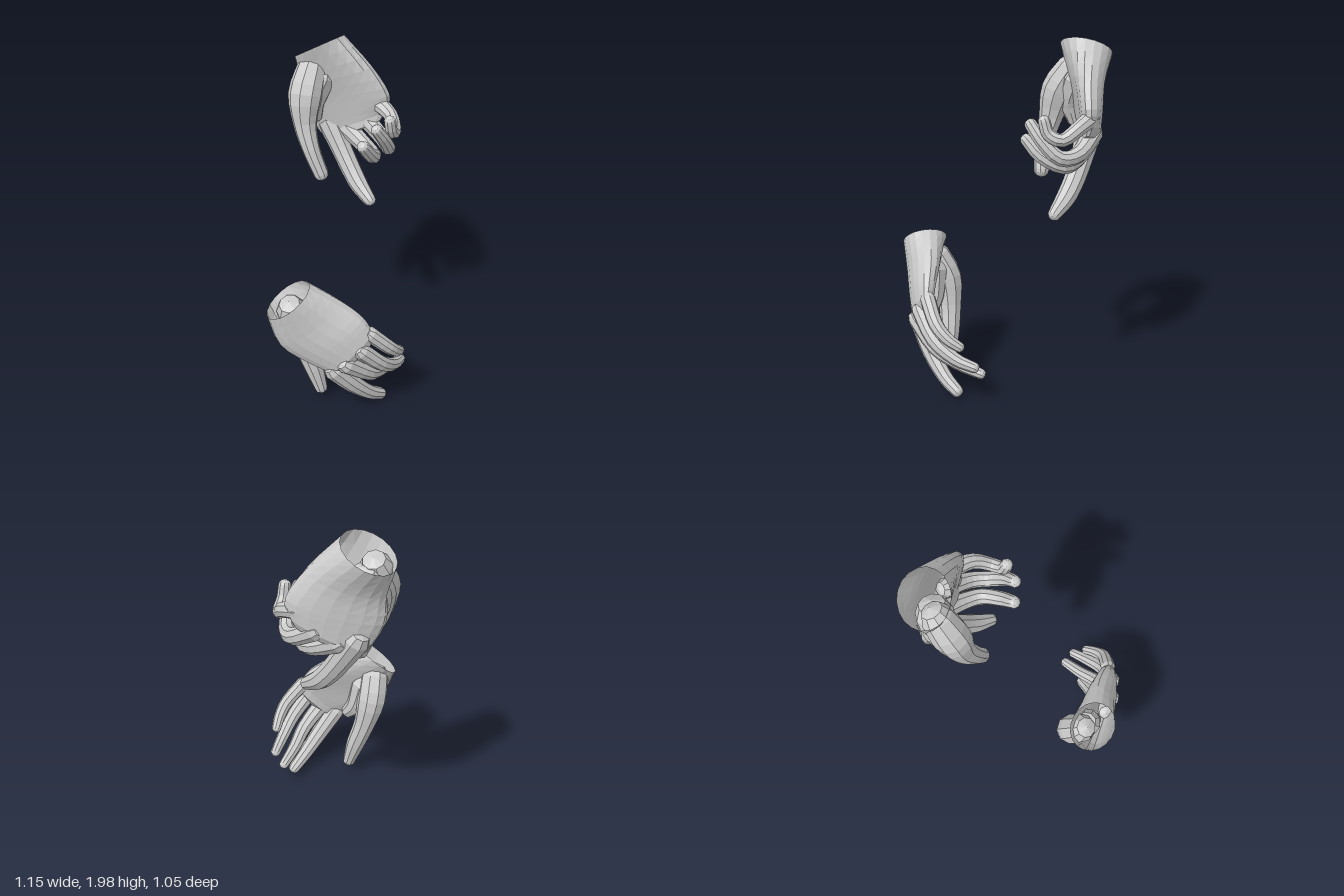
import * as THREE from 'three';

const skin = new THREE.MeshStandardMaterial({ color: 0xcccccc, flatShading: true });
const openSkin = new THREE.MeshStandardMaterial({ color: 0xcccccc, flatShading: true, side: THREE.DoubleSide });
const vec = (a) => new THREE.Vector3(a[0], a[1], a[2]);
const spline = (pts) => new THREE.CatmullRomCurve3(pts, false, 'catmullrom', 0.5);

// Skin over a series of rings with equal point counts
function loft(name, rings, material) {
  const n = rings[0].length;
  const index = [];
  for (let i = 0; i < rings.length - 1; i++) {
    for (let j = 0; j < n; j++) {
      const a = i * n + j, b = i * n + ((j + 1) % n);
      index.push(a, b, b + n, a, b + n, a + n);
    }
  }
  const geo = new THREE.BufferGeometry().setFromPoints(rings.flat());
  geo.setIndex(index);
  geo.computeVertexNormals();
  const mesh = new THREE.Mesh(geo, material);
  mesh.name = name;
  return mesh;
}

// Ring from a centre and two half-axes; the inner (palm) side is hollowed
function ring(c, u, v, sides, hollow = 0) {
  return Array.from({ length: sides }, (_, j) => {
    const a = (j / sides) * Math.PI * 2, s = Math.sin(a);
    const k = s < 0 ? s * (1 - hollow * s * s) : s;
    return c.clone().addScaledVector(u, Math.cos(a)).addScaledVector(v, k);
  });
}

// Finger: tapered round tube through [x, y, z, radius] with domed ends
function digit(name, pts, sides = 9) {
  const path = spline(pts.map(vec));
  const radii = spline(pts.map((p) => new THREE.Vector3(p[3], 0, 0)));
  const steps = (pts.length - 1) * 3;
  const rings = [];
  let u = new THREE.Vector3(0.3, 0.2, 1);
  for (let i = 0; i <= steps; i++) {
    const t = i / steps, c = path.getPoint(t), d = path.getTangent(t), r = radii.getPoint(t).x;
    u = u.clone().addScaledVector(d, -u.dot(d)).normalize();
    const v = d.clone().cross(u);
    const add = (ang) => {
      const k = r * Math.max(Math.cos(ang), 0.001);
      rings.push(ring(c.clone().addScaledVector(d, r * 0.9 * Math.sin(ang)),
        u.clone().multiplyScalar(k), v.clone().multiplyScalar(k), sides));
    };
    if (i === 0) [-Math.PI / 2, -0.8].forEach(add);
    add(0);
    if (i === steps) [0.5, 1.0, Math.PI / 2].forEach(add);
  }
  return loft(name, rings, skin);
}

// Palm: sections of [centre, half-width to little finger, half-thickness to back]
function palm(sections, capShift) {
  const [cs, ws, ns] = [0, 1, 2].map((k) => spline(sections.map((s) => vec(s[k]))));
  const flip = ws.points[0].clone().cross(ns.points[0]).dot(cs.points[1].clone().sub(cs.points[0])) < 0;
  const rings = [];
  const add = (c, w, n, hollow) => {
    const r = ring(c, w, n, 18, hollow);
    rings.push(flip ? r.reverse() : r);
  };
  for (let i = 0; i <= 9; i++) {
    const t = i / 9;
    add(cs.getPoint(t), ws.getPoint(t), ns.getPoint(t), 0.45 * Math.sin(Math.PI * t * 0.8));
  }
  // rounded end between the knuckles
  [[0.6, 0.8], [1, 0.001]].forEach(([shift, k]) => add(
    cs.getPoint(1).addScaledVector(vec(capShift), shift),
    ws.getPoint(1).multiplyScalar(k), ns.getPoint(1).multiplyScalar(k), 0.2));
  return loft('palm', rings, openSkin);
}

function hand(name, spec) {
  const g = new THREE.Group();
  g.name = name;
  g.add(palm(spec.palm, spec.cap));
  for (const [part, pts] of Object.entries(spec.digits)) g.add(digit(part, pts));
  return g;
}

// Upper hand: index finger points down, the others curl forward
const upper = {
  palm: [
    [[0.355, 1.925, -0.395], [0.093, 0.062, 0.107], [0.12, -0.045, -0.078]],
    [[0.39, 1.76, -0.295], [0.11, 0.06, 0.17], [0.09, -0.02, -0.065]],
    [[0.425, 1.6, -0.25], [0.12, 0.06, 0.22], [0.075, 0, -0.05]],
    [[0.455, 1.47, -0.225], [0.09, 0.09, 0.175], [0.055, 0, -0.035]],
  ],
  cap: [-0.005, -0.06, 0.035],
  digits: {
    thumb: [[0.28, 1.82, -0.39, 0.085], [0.2, 1.68, -0.375, 0.1], [0.165, 1.52, -0.35, 0.07],
      [0.15, 1.38, -0.295, 0.053], [0.165, 1.235, -0.235, 0.045]],
    thumbWeb: [[0.33, 1.76, -0.37, 0.1], [0.28, 1.63, -0.39, 0.085], [0.3, 1.52, -0.39, 0.05]],
    indexFinger: [[0.4, 1.46, -0.36, 0.075], [0.395, 1.31, -0.265, 0.064], [0.385, 1.2, -0.185, 0.06],
      [0.37, 1.12, -0.11, 0.055], [0.35, 1.055, -0.015, 0.038]],
    middleFinger: [[0.44, 1.44, -0.28, 0.06], [0.43, 1.36, -0.13, 0.05], [0.39, 1.335, -0.025, 0.046],
      [0.285, 1.39, 0.03, 0.042], [0.2, 1.475, 0.04, 0.036]],
    ringFinger: [[0.5, 1.5, -0.18, 0.055], [0.48, 1.41, -0.03, 0.047], [0.41, 1.4, 0.065, 0.043],
      [0.32, 1.49, 0.1, 0.039], [0.25, 1.575, 0.095, 0.034]],
    littleFinger: [[0.52, 1.6, -0.1, 0.05], [0.495, 1.56, 0.015, 0.042], [0.435, 1.505, 0.09, 0.038],
      [0.365, 1.535, 0.115, 0.036], [0.34, 1.605, 0.12, 0.034]],
  },
};

// Lower hand: relaxed, fingers reaching sideways, thumb hanging down
const lower = {
  palm: [
    [[-0.465, 0.8, 0.035], [0.083, 0.095, 0.083], [-0.085, 0.012, 0.1]],
    [[-0.4, 0.655, 0.14], [0.12, 0.13, 0.13], [-0.08, 0.01, 0.07]],
    [[-0.34, 0.56, 0.255], [0.11, 0.14, 0.12], [-0.065, 0.015, 0.055]],
    [[-0.295, 0.485, 0.345], [0.085, 0.13, 0.085], [-0.045, 0.01, 0.04]],
  ],
  cap: [0.045, -0.05, 0.03],
  digits: {
    thumb: [[-0.41, 0.7, 0.01, 0.085], [-0.345, 0.56, -0.01, 0.09], [-0.31, 0.4, 0.015, 0.068],
      [-0.285, 0.24, 0.065, 0.058], [-0.27, 0.1, 0.105, 0.04]],
    thumbWeb: [[-0.39, 0.63, 0.07, 0.085], [-0.37, 0.48, 0.11, 0.065], [-0.365, 0.4, 0.17, 0.045]],
    indexFinger: [[-0.36, 0.37, 0.27, 0.06], [-0.26, 0.235, 0.325, 0.053], [-0.15, 0.12, 0.365, 0.044],
      [-0.055, 0.055, 0.385, 0.036]],
    middleFinger: [[-0.34, 0.43, 0.34, 0.055], [-0.19, 0.3, 0.39, 0.046], [-0.05, 0.225, 0.375, 0.039],
      [0.085, 0.185, 0.36, 0.031]],
    ringFinger: [[-0.28, 0.515, 0.4, 0.05], [-0.16, 0.38, 0.455, 0.045], [-0.03, 0.29, 0.45, 0.038],
      [0.08, 0.25, 0.425, 0.031]],
    littleFinger: [[-0.22, 0.6, 0.415, 0.045], [-0.13, 0.49, 0.48, 0.041], [-0.055, 0.42, 0.485, 0.036],
      [0.01, 0.375, 0.465, 0.03]],
  },
};

export function createModel() {
  const model = new THREE.Group();
  model.name = 'pairOfHands';
  model.add(hand('upperHand', upper), hand('lowerHand', lower));
  return model;
}
